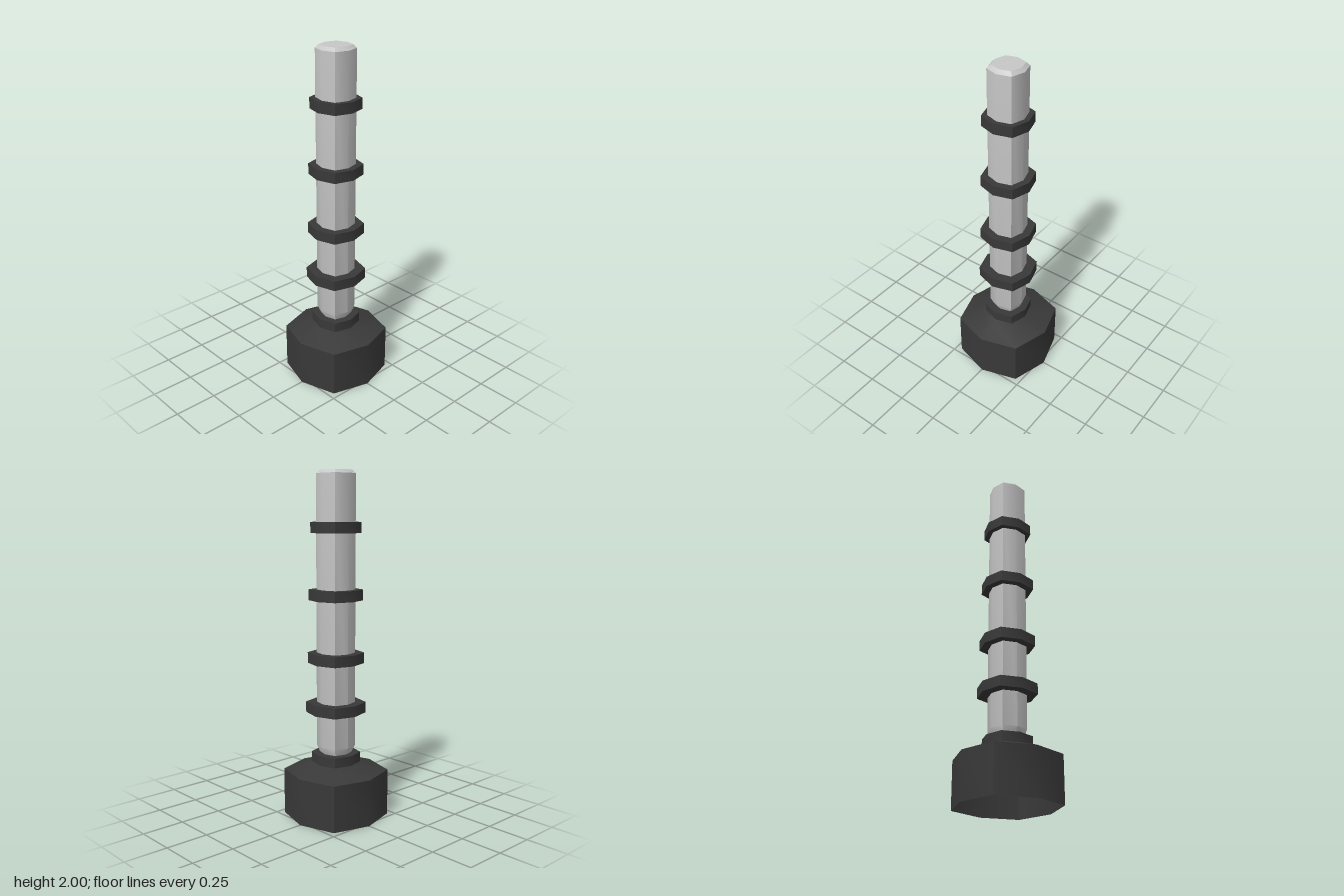
import * as THREE from 'three';
import { toCreasedNormals } from 'three/addons/utils/BufferGeometryUtils.js';

const DIAGONAL = 1.09; // corners between the axes sit slightly further out

// Eight-sided turned part from [radius, height] points, listed bottom to top
function turned(name, profile, material) {
  const points = profile.map(([r, y]) => new THREE.Vector2(r, y));
  const geometry = new THREE.LatheGeometry(points, 8);
  const pos = geometry.attributes.position;
  for (let i = 0; i < pos.count; i++) {
    const x = pos.getX(i), z = pos.getZ(i);
    if (Math.abs(x * z) > 1e-6) pos.setXYZ(i, x * DIAGONAL, pos.getY(i), z * DIAGONAL);
  }
  const mesh = new THREE.Mesh(toCreasedNormals(geometry, 0.68), material);
  mesh.name = name;
  return mesh;
}

export function createModel() {
  const metal = new THREE.MeshStandardMaterial({ color: 0xc8c8c8 });
  metal.name = 'light metal';
  const rubber = new THREE.MeshStandardMaterial({ color: 0x393939, side: THREE.DoubleSide });
  rubber.name = 'dark rubber';

  const model = new THREE.Group();
  model.name = 'ringedRod';

  // Hollow base with sloped shoulder and collar
  model.add(turned('base', [[0.28, 0], [0.28, 0.272], [0.13, 0.322], [0.13, 0.38], [0, 0.38]], rubber));

  // Rod with chamfered ends
  model.add(turned('rod', [[0, 0.375], [0.083, 0.375], [0.102, 0.42], [0.102, 1.981], [0.083, 2], [0, 2]], metal));

  // Rings, getting narrower towards the top
  const rings = [[0.65, 0.159], [0.942, 0.149], [1.305, 0.142], [1.684, 0.132]];
  rings.forEach(([y, r], i) => {
    const low = y - 0.031, high = y + 0.031;
    model.add(turned('ring' + (i + 1), [[0.095, low], [r, low], [r, high], [0.095, high]], rubber));
  });

  return model;
}
